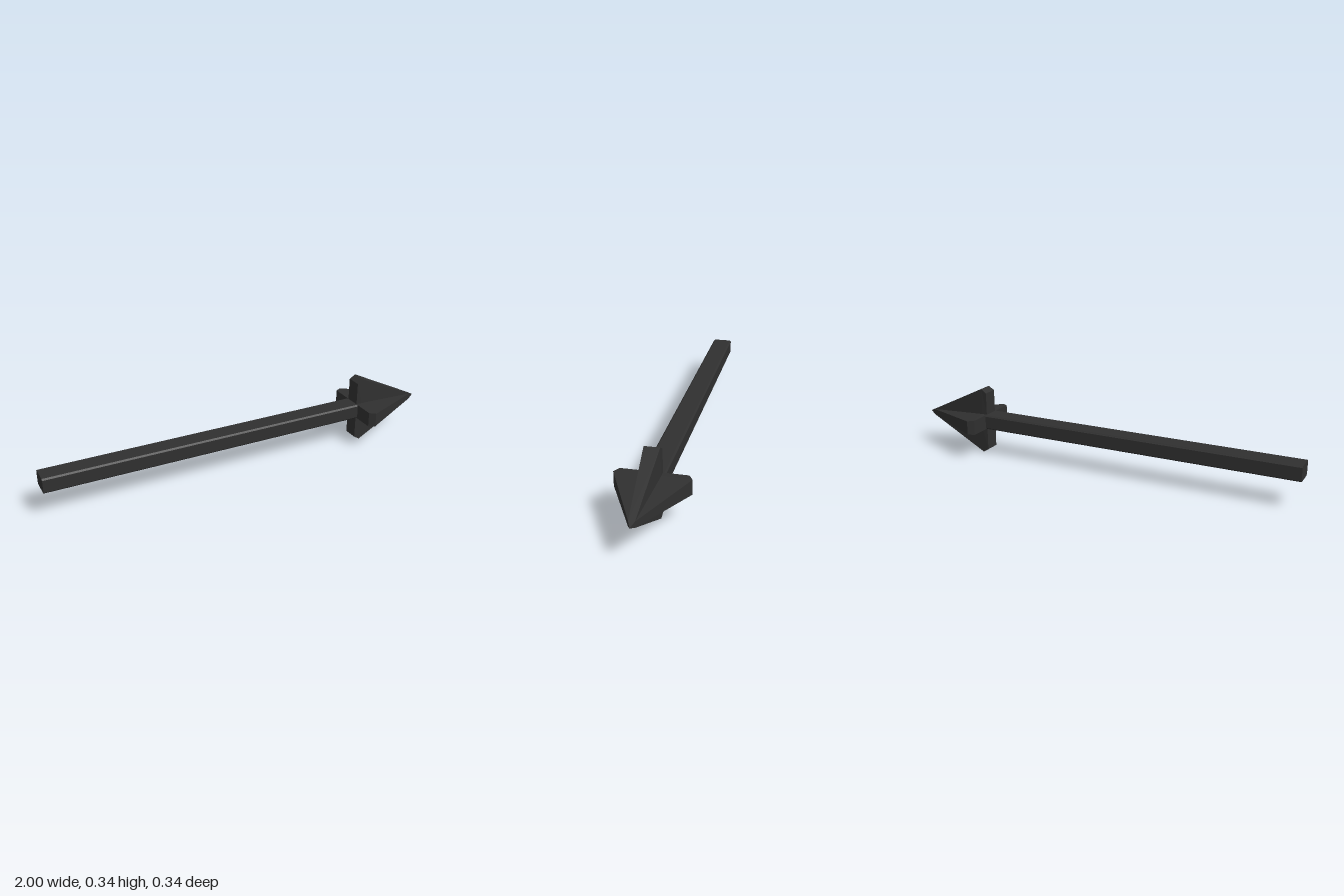
import * as THREE from 'three';

const CENTER_Y = 0.169;

// Plus-shaped ring of 12 points: fin reach r, half width at the fin end, half width at the valley
function crossSection(x, r, endWidth, valley) {
  const ring = [];
  for (let k = 0; k < 4; k++) {
    const c = Math.round(Math.cos(k * Math.PI / 2));
    const s = Math.round(Math.sin(k * Math.PI / 2));
    for (const [u, v] of [[r, -endWidth], [r, endWidth], [valley, valley]]) {
      ring.push(new THREE.Vector3(x, u * c - v * s, u * s + v * c));
    }
  }
  return ring;
}

// Skin consecutive rings, skipping collapsed triangles
function loft(rings) {
  const pos = [];
  const tri = (a, b, c) => {
    if (new THREE.Triangle(a, b, c).getArea() < 1e-8) return;
    for (const p of [a, b, c]) pos.push(p.x, p.y, p.z);
  };
  for (let i = 0; i < rings.length - 1; i++) {
    const n = rings[i].length;
    for (let j = 0; j < n; j++) {
      const k = (j + 1) % n;
      tri(rings[i][j], rings[i][k], rings[i + 1][k]);
      tri(rings[i][j], rings[i + 1][k], rings[i + 1][j]);
    }
  }
  const g = new THREE.BufferGeometry();
  g.setAttribute('position', new THREE.Float32BufferAttribute(pos, 3));
  g.computeVertexNormals();
  return g;
}

export function createModel() {
  const group = new THREE.Group();
  const material = new THREE.MeshStandardMaterial({ color: 0x303030, flatShading: true });

  // Shaft: chamfered rectangular bar along x
  const hz = 0.05, hy = 0.037, ch = 0.007;
  const profile = new THREE.Shape([
    [hz, -hy + ch], [hz, hy - ch], [hz - ch, hy], [-hz + ch, hy],
    [-hz, hy - ch], [-hz, -hy + ch], [-hz + ch, -hy], [hz - ch, -hy],
  ].map(([x, y]) => new THREE.Vector2(x, y)));
  const shaftGeometry = new THREE.ExtrudeGeometry(profile, { depth: 1.63, bevelEnabled: false });
  shaftGeometry.rotateY(Math.PI / 2);
  const shaft = new THREE.Mesh(shaftGeometry, material);
  shaft.name = 'shaft';
  shaft.position.set(-1, CENTER_Y, 0);
  group.add(shaft);

  // Head: four tapering fins that merge into a small pyramid tip
  const head = new THREE.Mesh(loft([
    crossSection(0.62, 0, 0, 0),
    crossSection(0.62, 0.15, 0.037, 0.037),
    crossSection(0.65, 0.169, 0.035, 0.037),
    crossSection(0.97, 0.014, 0.014, 0.014),
    crossSection(1, 0, 0, 0),
  ]), material);
  head.name = 'arrowHead';
  head.position.y = CENTER_Y;
  group.add(head);

  return group;
}
